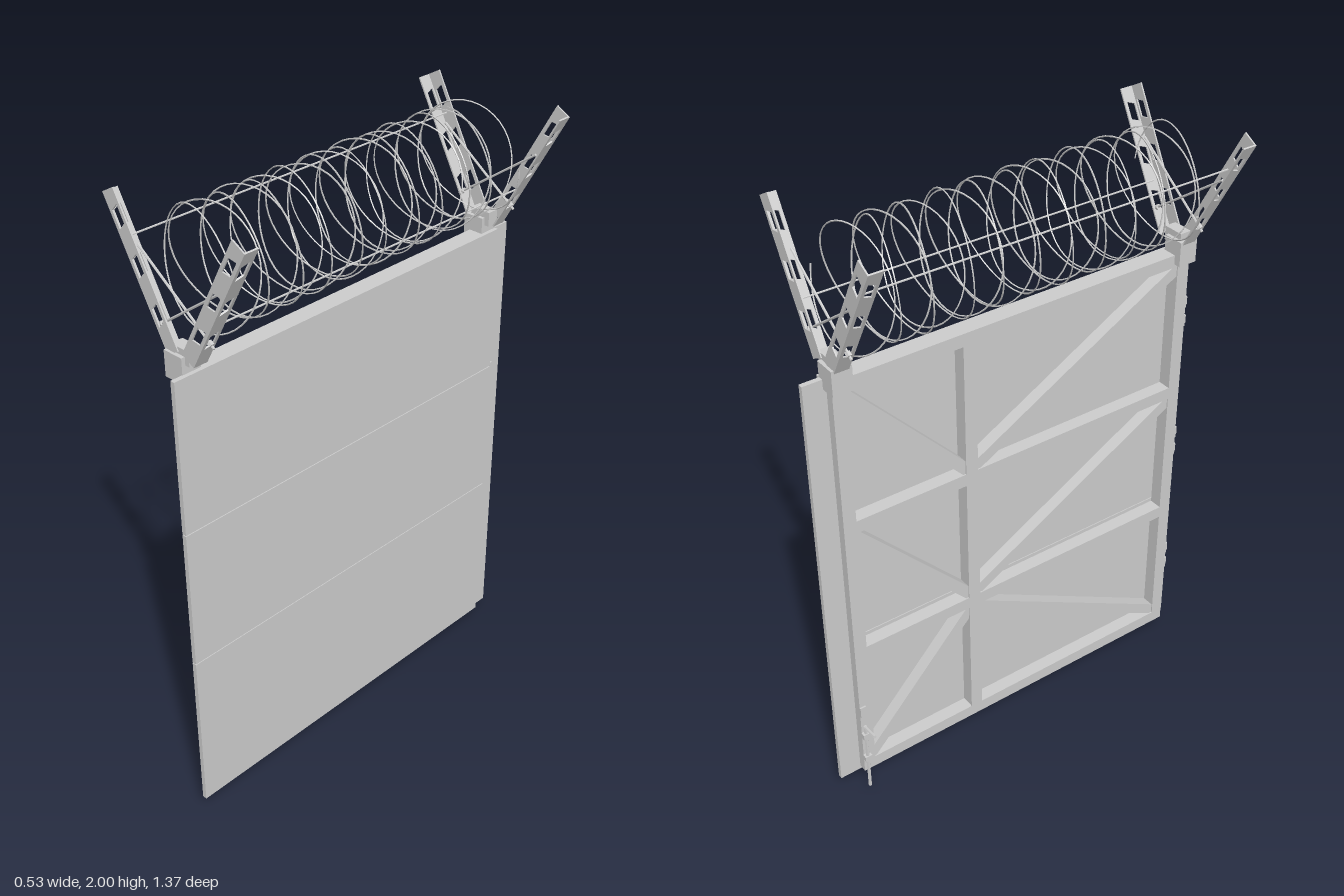
import * as THREE from 'three';

const mat = new THREE.MeshStandardMaterial({ color: 0xcccccc, flatShading: true, side: THREE.DoubleSide });

export function createModel() {
  const model = new THREE.Group();

  function add(name, geo, parent = model) {
    const m = new THREE.Mesh(geo, mat);
    m.name = name;
    parent.add(m);
    return m;
  }

  // Box given by its min / max on each axis
  function box(name, x0, x1, y0, y1, z0, z1, parent) {
    const m = add(name, new THREE.BoxGeometry(x1 - x0, y1 - y0, z1 - z0), parent);
    m.position.set((x0 + x1) / 2, (y0 + y1) / 2, (z0 + z1) / 2);
    return m;
  }

  // Round bar between two points
  function rod(name, a, b, r, parent) {
    const p = new THREE.Vector3(...a), q = new THREE.Vector3(...b);
    const m = add(name, new THREE.CylinderGeometry(r, r, p.distanceTo(q), 6), parent);
    m.position.copy(p).add(q).multiplyScalar(0.5);
    m.quaternion.setFromUnitVectors(new THREE.Vector3(0, 1, 0), q.sub(p).normalize());
    return m;
  }

  // Cladding: three sheets with fine joints, and the overlap strip behind one edge
  const joints = [0.05, 0.6, 1.065, 1.555];
  for (let i = 0; i < 3; i++) {
    box('claddingSheet', 0.012, 0.027, joints[i] + (i ? 0.003 : 0), joints[i + 1], -0.62, 0.685);
  }
  box('overlapStrip', -0.004, 0.012, 0.05, 1.555, -0.682, -0.6);
  box('stripStud', 0.012, 0.018, 1.058, 1.07, -0.642, -0.632);

  // Frame: posts, rails and diagonals of square tube
  const T = 0.042, X0 = -0.033, X1 = 0.012;
  const zs = [-0.61, -0.19, 0.64 - T];
  const ys = [0.064, 0.545, 1.03, 1.555 - T];
  const frame = new THREE.Group();
  frame.name = 'frame';
  model.add(frame);
  zs.forEach(z => box('framePost', X0, X1, ys[0], 1.555, z, z + T, frame));
  ys.forEach(y => {
    for (let c = 0; c < 2; c++) box('frameRail', X0, X1, y, y + T, zs[c] + T, zs[c + 1], frame);
  });
  for (let row = 0; row < 3; row++) {
    for (let col = 0; col < 2; col++) {
      const rising = (col === 0) === (row === 0);
      const za = zs[col] + T - 0.008, zb = zs[col + 1] + 0.008;
      let ya = ys[row] + T + 0.01, yb = ys[row + 1] - 0.01;
      if (!rising) [ya, yb] = [yb, ya];
      const len = Math.hypot(zb - za, yb - ya);
      const m = add('frameDiagonal', new THREE.BoxGeometry(X1 - X0 - 0.004, T * 0.9, len), frame);
      m.position.set((X0 + X1) / 2 + 0.002, (ya + yb) / 2, (za + zb) / 2);
      m.rotation.x = -Math.atan2(yb - ya, zb - za);
    }
  }

  // Hinge lugs in pairs on the hinge edge
  for (const y of [0.345, 0.84, 1.335]) {
    for (const s of [-1, 1]) {
      const yc = y + s * 0.033;
      box('hingeLug', -0.026, -0.002, yc - 0.02, yc + 0.02, 0.64, 0.652);
      rod('hingePin', [-0.014, yc - 0.013, 0.655], [-0.014, yc + 0.013, 0.655], 0.008);
    }
  }

  // Drop bolt with its handle and guides
  const bolt = new THREE.Group();
  bolt.name = 'dropBolt';
  model.add(bolt);
  rod('boltRod', [-0.042, 0, -0.6], [-0.042, 0.27, -0.6], 0.006, bolt);
  rod('boltHandle', [-0.04, 0.265, -0.6], [-0.1, 0.272, -0.6], 0.006, bolt);
  for (const y of [0.12, 0.22]) box('boltGuide', -0.05, X0, y, y + 0.02, -0.612, -0.588, bolt);
  box('boltCatch', -0.039, X0, 0.31, 0.35, -0.61, -0.59, bolt);

  // Perforated strip with slanted slots, long axis y
  function slottedPlate(width, length, thick) {
    const w = width / 2, h = length / 2;
    const s = new THREE.Shape([[-w, -h], [w, -h], [w, h], [-w, h]].map(p => new THREE.Vector2(...p)));
    for (const y of [-0.12, 0.015, 0.148]) {
      const k = width * 0.28;
      s.holes.push(new THREE.Path([[-k, y - 0.03], [-k, y + 0.022], [k, y + 0.032], [k, y - 0.02]]
        .map(p => new THREE.Vector2(...p))));
    }
    const g = new THREE.ExtrudeGeometry(s, { depth: thick, bevelEnabled: false });
    g.translate(0, 0, -thick / 2);
    return g;
  }

  // V-shaped angle-iron brackets on both posts
  const TILT = Math.atan2(0.215, 0.39), LEN = 0.445;
  for (const [zc, sz] of [[0.614, 1], [-0.588, -1]]) {
    const bracket = new THREE.Group();
    bracket.name = 'topBracket';
    bracket.position.z = zc;
    model.add(bracket);
    box('bracketSocket', -0.056, 0.014, 1.525, 1.605, -0.032, 0.032, bracket);
    box('bracketCap', -0.04, 0.03, 1.58, 1.625, -0.02, 0.02, bracket);
    for (const sx of [-1, 1]) {
      const arm = new THREE.Group();
      arm.name = sx > 0 ? 'leftArm' : 'rightArm';
      arm.position.set(sx * 0.1375, 1.795, 0);
      arm.rotation.z = -sx * TILT;
      bracket.add(arm);
      add('armWeb', slottedPlate(0.05, LEN, 0.005), arm).position.z = sz * 0.021;
      const flange = add('armFlange', slottedPlate(0.046, LEN, 0.005), arm);
      flange.rotation.y = Math.PI / 2;
      flange.position.x = sx * 0.0225;
      // Crossing brace with end nut
      const z = sx * 0.008;
      rod('braceRod', [-sx * 0.1, 1.65, z], [sx * 0.18, 1.85, z], 0.004, bracket);
      rod('braceNut', [-sx * 0.092, 1.656, z], [-sx * 0.08, 1.664, z], 0.009, bracket);
    }
  }

  // Straining wires along the top
  for (const [x, y] of [[-0.182, 1.88], [0.125, 1.73]]) {
    rod('strainingWire', [x, y, -0.6], [x, y, 0.62], 0.003);
  }

  // Coiled wire: a wavering helix
  const TURNS = 20;
  class Coil extends THREE.Curve {
    getPoint(t, out = new THREE.Vector3()) {
      const a = t * TURNS * Math.PI * 2;
      const r = 0.171 + 0.005 * Math.sin(a * 0.37);
      return out.set(
        -0.02 + r * Math.cos(a),
        1.806 + r * Math.sin(a),
        0.55 - 1.1 * t + 0.024 * Math.sin(a * 1.5 + 0.6) + 0.008 * Math.sin(a * 0.23)
      );
    }
  }
  add('wireCoil', new THREE.TubeGeometry(new Coil(), TURNS * 40, 0.0024, 4));

  return model;
}
